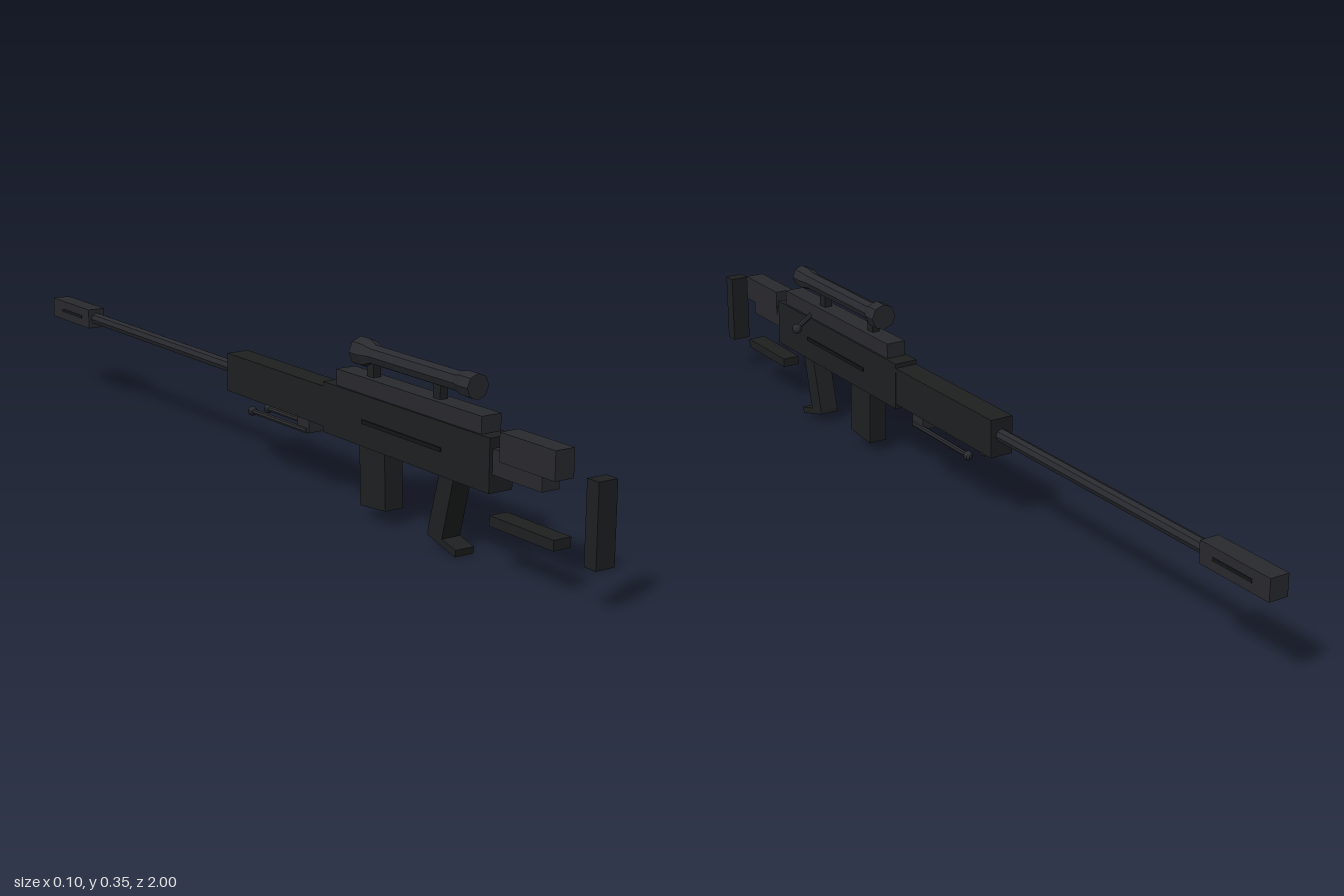
import * as THREE from 'three';

const CX = -0.021; // centre line of the gun

export function createModel() {
  const root = new THREE.Group();
  const mat = (color) => new THREE.MeshStandardMaterial({ color, flatShading: true });
  const body = mat(0x1e2021), metal = mat(0x292a2f), dark = mat(0x141516);

  const add = (name, geo, m) => {
    const mesh = new THREE.Mesh(geo, m);
    mesh.name = name;
    root.add(mesh);
    return mesh;
  };
  // box from its y and z limits, centred on the centre line
  const box = (name, w, y0, y1, z0, z1, m = body, x = CX) => {
    const b = add(name, new THREE.BoxGeometry(w, y1 - y0, z1 - z0), m);
    b.position.set(x, (y0 + y1) / 2, (z0 + z1) / 2);
    return b;
  };
  // cylinder between two points
  const rod = (name, a, b, ra, rb = ra, m = metal, sides = 8) => {
    const p = new THREE.Vector3(...a), q = new THREE.Vector3(...b);
    const d = q.clone().sub(p);
    const c = add(name, new THREE.CylinderGeometry(rb, ra, d.length(), sides), m);
    c.position.copy(p).add(q).multiplyScalar(0.5);
    c.quaternion.setFromUnitVectors(new THREE.Vector3(0, 1, 0), d.normalize());
    return c;
  };
  const ball = (name, x, y, z, r, m = metal) =>
    add(name, new THREE.SphereGeometry(r, 10, 8), m).position.set(x, y, z);
  // side outline of [z, y] points extruded across the width
  const slab = (name, pts, w, m = body) => {
    const shape = new THREE.Shape(pts.map(([z, y]) => new THREE.Vector2(-z, y)));
    const geo = new THREE.ExtrudeGeometry(shape, { depth: w, bevelEnabled: false });
    geo.translate(0, 0, -w / 2).rotateY(Math.PI / 2);
    add(name, geo, m).position.x = CX;
  };

  // Stock
  box('buttPlate', 0.042, 0.08, 0.236, 0.97, 1.0);
  box('cheekRest', 0.043, 0.21, 0.265, 0.74, 0.89, metal);
  box('stockTube', 0.04, 0.182, 0.23, 0.70, 0.855, metal);
  box('lowerStockBar', 0.04, 0.085, 0.105, 0.715, 0.89);

  // Receiver, top rail and handguard
  box('receiver', 0.054, 0.147, 0.25, 0.195, 0.72);
  box('topRail', 0.045, 0.24, 0.283, 0.235, 0.69, metal);
  box('handguard', 0.052, 0.158, 0.24, -0.17, 0.20);
  box('receiverSideStrip', 0.06, 0.193, 0.201, 0.33, 0.58, dark);

  // Barrel and muzzle brake
  rod('barrel', [CX, 0.203, -0.16], [CX, 0.203, -0.83], 0.014);
  box('muzzleBrake', 0.042, 0.181, 0.226, -1.0, -0.815, metal);
  box('muzzleSlot', 0.044, 0.199, 0.207, -0.955, -0.85, dark);

  // Scope, turned as one profile along z
  const profile = [[0, 0], [0.025, 0], [0.025, 0.03], [0.02, 0.05], [0.02, 0.315],
    [0.029, 0.335], [0.029, 0.365], [0, 0.365]].map(([r, h]) => new THREE.Vector2(r, h));
  const scope = add('scope', new THREE.LatheGeometry(profile, 8), metal);
  scope.rotation.x = -Math.PI / 2;
  scope.position.set(CX, 0.326, 0.65);
  for (const z of [0.54, 0.33]) box('scopeMount', 0.018, 0.275, 0.315, z - 0.011, z + 0.011);

  // Bolt handle
  rod('boltHandle', [-0.005, 0.258, 0.575], [0.037, 0.229, 0.575], 0.006);
  ball('boltKnob', 0.037, 0.228, 0.575, 0.0115);

  // Grip and magazine
  slab('grip', [[0.613, 0.155], [0.578, 0.018], [0.536, 0.03], [0.57, 0.155]], 0.043);
  slab('gripFoot', [[0.622, 0.014], [0.62, 0], [0.536, 0.022], [0.538, 0.034]], 0.043);
  slab('magazine', [[0.396, 0.15], [0.401, 0.032], [0.318, 0.024], [0.313, 0.15]], 0.042);

  // Folded bipod
  box('bipodMount', 0.042, 0.13, 0.165, 0.095, 0.137, metal);
  for (const s of [-1, 1]) {
    const x = CX + s * 0.02;
    rod('bipodLeg', [x, 0.133, 0.13], [x, 0.131, -0.08], 0.006);
    ball('bipodFoot', x, 0.131, -0.078, 0.01);
  }
  return root;
}
